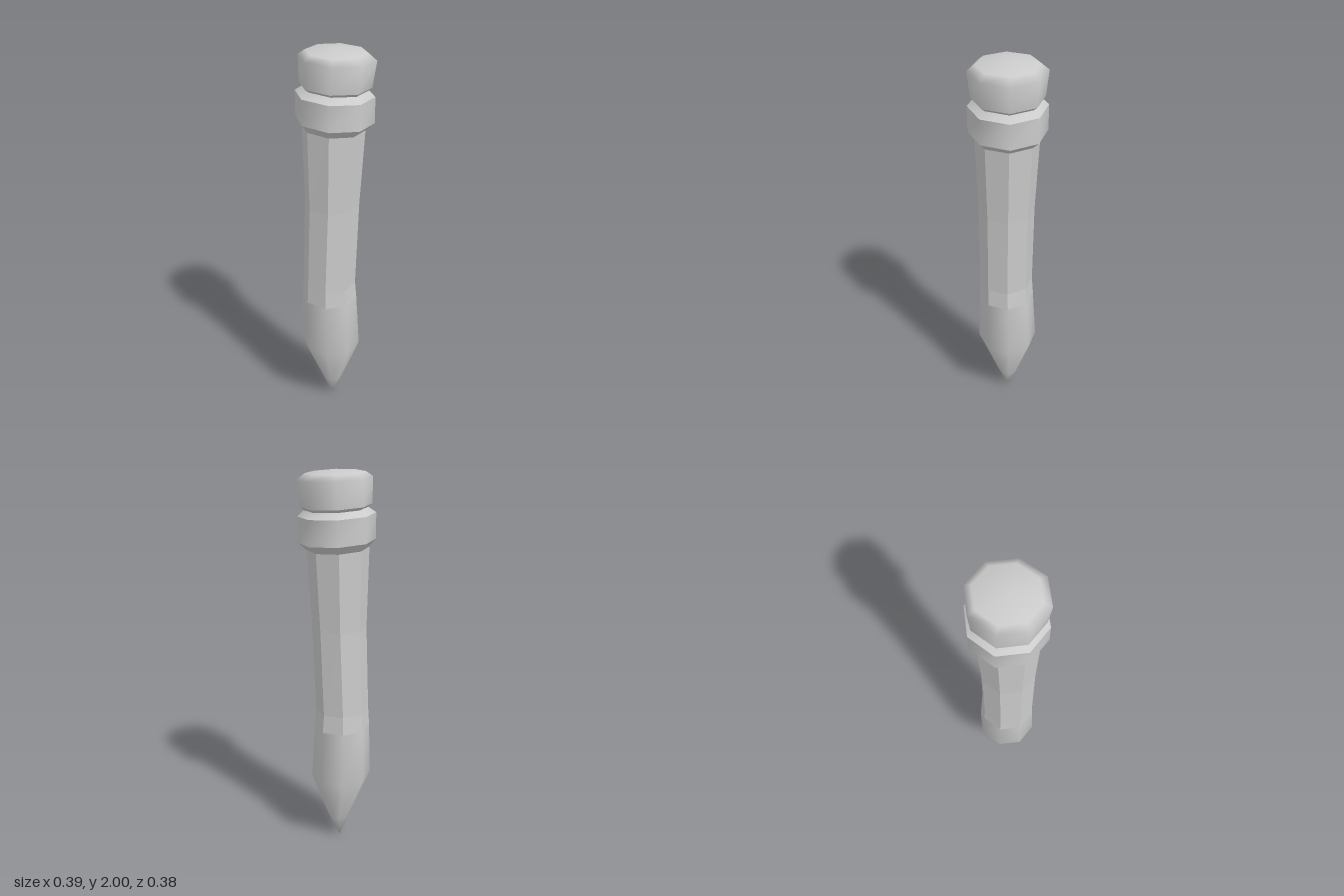
import * as THREE from 'three';

const SIDES = 8;

// Skin over octagonal rings listed bottom to top: [y, centreX, centreZ, radiusX, radiusZ, tilt].
// A ring of radius 0 becomes a single shared point.
function loft(rings) {
  const positions = [];
  const index = [];
  const id = [];
  for (const [y, cx, cz, rx, rz, tilt = 0] of rings) {
    const start = positions.length / 3;
    const count = rx === 0 ? 1 : SIDES;
    for (let j = 0; j < count; j++) {
      const a = (j / SIDES) * Math.PI * 2;
      const dx = rx * Math.cos(a);
      positions.push(cx + dx, y - tilt * dx, cz + rz * Math.sin(a));
    }
    id.push((j) => start + (j % count));
  }
  for (let i = 0; i < rings.length - 1; i++) {
    for (let j = 0; j < SIDES; j++) {
      const a = id[i](j), b = id[i](j + 1), c = id[i + 1](j), d = id[i + 1](j + 1);
      if (a !== b) index.push(a, c, b);
      if (c !== d) index.push(b, c, d);
    }
  }
  const geometry = new THREE.BufferGeometry();
  geometry.setAttribute('position', new THREE.Float32BufferAttribute(positions, 3));
  geometry.setIndex(index);
  geometry.computeVertexNormals();
  return geometry;
}

export function createModel() {
  const group = new THREE.Group();
  const smooth = new THREE.MeshStandardMaterial({ color: 0xcccccc });
  const flat = new THREE.MeshStandardMaterial({ color: 0xcccccc, flatShading: true });

  const add = (parent, name, rings, material = smooth) => {
    const mesh = new THREE.Mesh(loft(rings), material);
    mesh.name = name;
    parent.add(mesh);
  };

  // Rings shared by neighbouring parts
  const shaftEnd = [0.675, -0.032, 0.007, 0.145, 0.145, 0.03];
  const collarBottom = [1.62, -0.01, 0.002, 0.152, 0.155, 0.05];
  const bandBottom = [1.66, -0.004, 0, 0.191, 0.19, 0.05];
  const bandTop = [1.787, -0.004, 0, 0.191, 0.19, 0.05];
  const neck = [1.815, 0, 0, 0.155, 0.155, 0.05];
  const eraserBase = [1.83, -0.002, 0, 0.173, 0.174, 0.05];

  // Sharpened end, smooth from the lead tip to the start of the faceted shaft
  add(group, 'sharpenedPoint', [
    [0, -0.02, 0, 0, 0],
    [0.13, -0.018, 0, 0.057, 0.057, 0.05],
    [0.385, -0.028, 0.002, 0.158, 0.158, 0.08],
    shaftEnd,
  ]);

  // Gently bent faceted shaft
  add(group, 'shaft', [
    shaftEnd,
    [0.77, -0.033, 0.009, 0.138, 0.14, 0.02],
    [1.22, -0.018, 0.006, 0.138, 0.141, 0],
    [1.64, -0.01, 0.002, 0.155, 0.157, 0.05],
  ], flat);

  // Collar of three bands, with sharp edges between them
  const collar = new THREE.Group();
  collar.name = 'collar';
  add(collar, 'collarLowerBevel', [collarBottom, bandBottom]);
  add(collar, 'collarBand', [bandBottom, bandTop]);
  add(collar, 'collarUpperBevel', [bandTop, neck]);
  group.add(collar);

  // Eraser with a softly domed top
  const eraser = new THREE.Group();
  eraser.name = 'eraser';
  add(eraser, 'eraserUnderside', [neck, eraserBase]);
  add(eraser, 'eraserBody', [
    eraserBase,
    [1.957, 0.007, 0, 0.184, 0.186, 0.05],
    [1.985, 0.002, 0, 0.145, 0.15, 0.03],
    [2, 0, 0, 0, 0],
  ]);
  group.add(eraser);

  return group;
}
